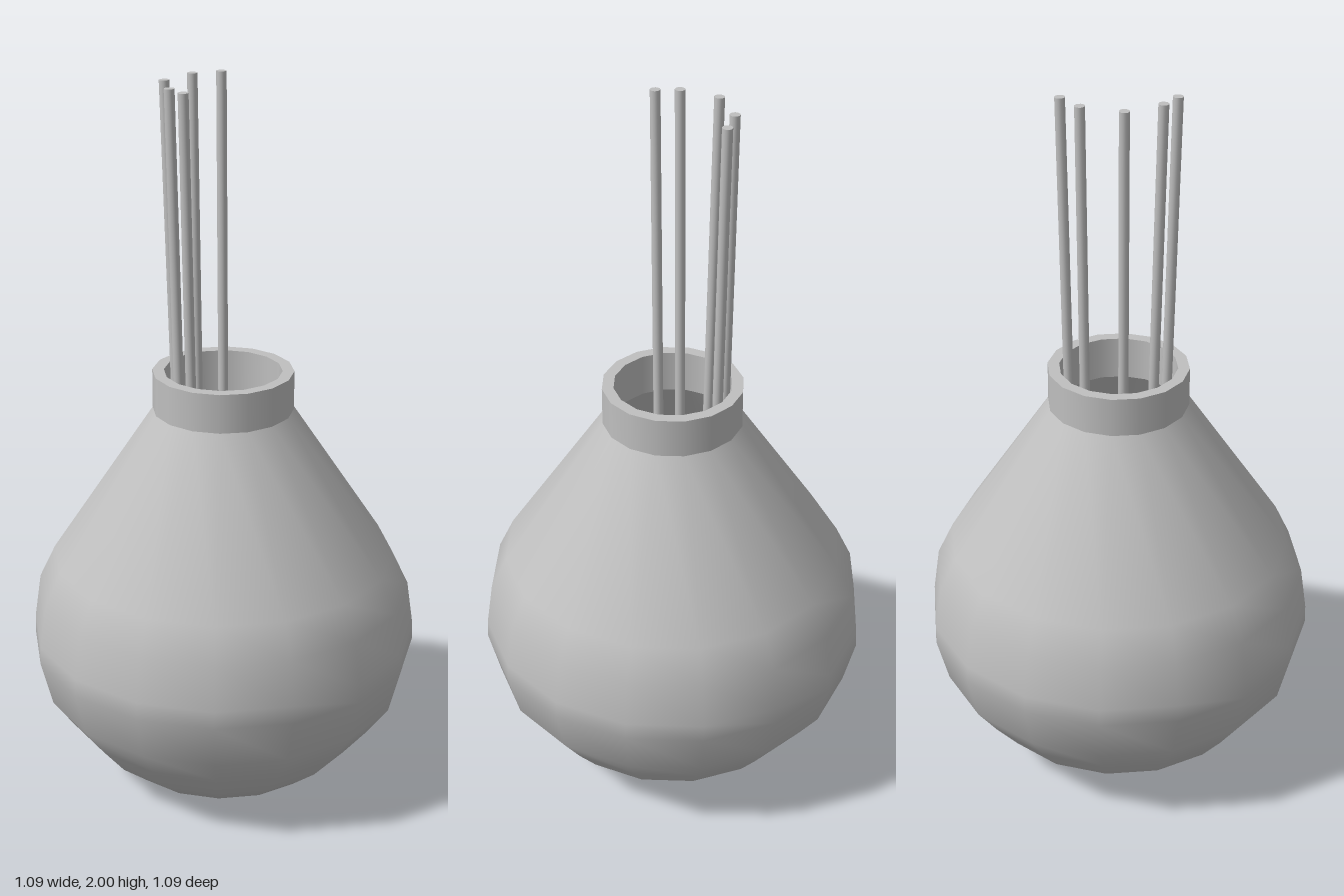
import * as THREE from 'three';

const SIDES = 16;

export function createModel() {
  const group = new THREE.Group();
  const clay = new THREE.MeshStandardMaterial({ color: 0xbfbfbf });
  clay.name = 'plain grey';

  const add = (name, geometry) => {
    const mesh = new THREE.Mesh(geometry, clay);
    mesh.name = name;
    group.add(mesh);
    return mesh;
  };

  // Each profile is turned smoothly; separate profiles keep a sharp edge between them
  const turn = (name, profile) =>
    add(name, new THREE.LatheGeometry(profile.map(([r, y]) => new THREE.Vector2(r, y)), SIDES));

  // Round belly tapering to the shoulder, with its flat base
  turn('body', [
    [0, 0.004], [0.2, 0], [0.295, 0.03], [0.38, 0.1], [0.45, 0.185], [0.512, 0.27],
    [0.545, 0.4], [0.543, 0.45], [0.525, 0.575], [0.48, 0.67], [0.195, 1.1],
  ]);

  // Straight collar and its flat rim
  turn('collar', [[0.195, 1.1], [0.195, 1.21]]);
  turn('rim', [[0.195, 1.21], [0.163, 1.21]]);

  // Hollow inside
  turn('collarInside', [[0.163, 1.21], [0.163, 1.09]]);
  turn('bodyInside', [
    [0.163, 1.09], [0.452, 0.66], [0.495, 0.57], [0.514, 0.42], [0.48, 0.28],
    [0.36, 0.12], [0.28, 0.055], [0.2, 0.03],
  ]);
  turn('insideFloor', [[0.2, 0.03], [0, 0.03]]);

  // Thin reeds leaning from the floor out past the rim: top x, z, then foot x, z
  const reeds = [
    [-0.096, 0.127, -0.062, 0.09],
    [-0.135, 0.076, -0.095, 0.042],
    [-0.156, -0.033, -0.1, -0.02],
    [-0.088, -0.128, -0.064, -0.105],
    [-0.012, -0.158, 0.0, -0.123],
  ];
  const up = new THREE.Vector3(0, 1, 0);
  reeds.forEach(([tx, tz, fx, fz], i) => {
    const top = new THREE.Vector3(tx, 2, tz);
    const foot = new THREE.Vector3(fx, 0.03, fz);
    const axis = top.clone().sub(foot);
    const reed = add(`reed${i + 1}`, new THREE.CylinderGeometry(0.014, 0.014, axis.length(), 12));
    reed.position.copy(top).add(foot).multiplyScalar(0.5);
    reed.quaternion.setFromUnitVectors(up, axis.normalize());
  });

  return group;
}
